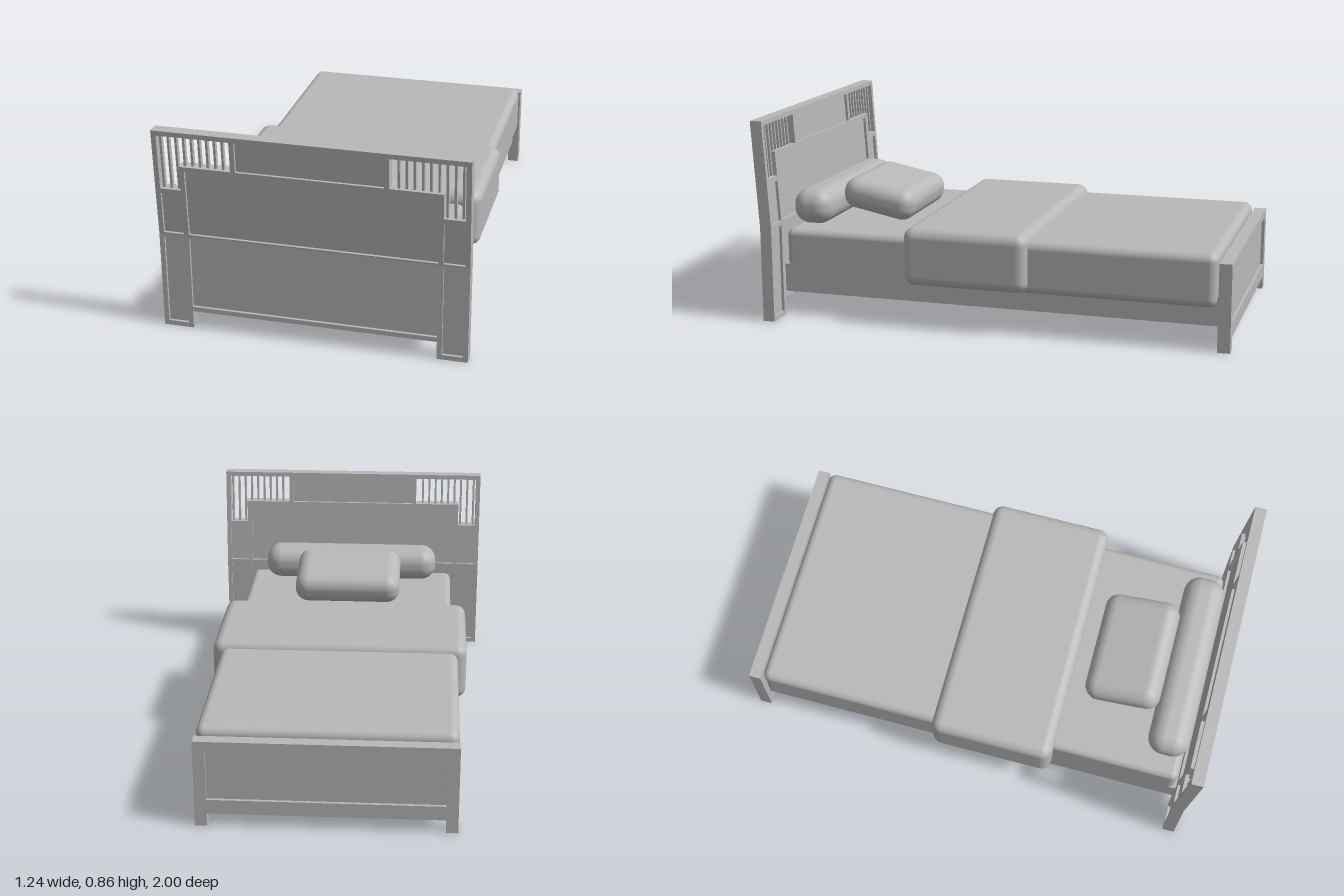
import * as THREE from 'three';
import { RoundedBoxGeometry } from 'three/addons/geometries/RoundedBoxGeometry.js';

const grey = new THREE.MeshStandardMaterial({ color: 0xb8b8b8 });
grey.name = 'plain grey';

const KINK = 0.41, TOP = 0.86, LEAN = 0.028;

function add(parent, name, geometry) {
  const mesh = new THREE.Mesh(geometry, grey);
  mesh.name = name;
  parent.add(mesh);
  return mesh;
}

// Box given by its limits on each axis
function block(parent, name, x0, x1, y0, y1, z0, z1) {
  const g = new THREE.BoxGeometry(x1 - x0, y1 - y0, z1 - z0);
  g.translate((x0 + x1) / 2, (y0 + y1) / 2, (z0 + z1) / 2);
  return add(parent, name, g);
}

// Headboard piece: upright up to the kink, leaning back above it
function leaning(parent, name, x0, x1, y0, y1, depth = 0.05) {
  let g = new THREE.BoxGeometry(x1 - x0, y1 - y0, depth, 1, 2, 1);
  g.translate((x0 + x1) / 2, (y0 + y1) / 2, 0.947);
  const p = g.attributes.position, mid = (y0 + y1) / 2;
  for (let i = 0; i < p.count; i++) {
    let y = p.getY(i);
    if (Math.abs(y - mid) < 1e-5 && y0 < KINK && y1 > KINK) y = KINK;
    p.setY(i, y);
    p.setZ(i, p.getZ(i) + LEAN * Math.max(0, (y - KINK) / (TOP - KINK)));
  }
  g = g.toNonIndexed();
  g.computeVertexNormals();
  return add(parent, name, g);
}

// Soft rounded block given by its limits
function soft(parent, name, x0, x1, y0, y1, z0, z1, radius) {
  const g = new RoundedBoxGeometry(x1 - x0, y1 - y0, z1 - z0, 5, radius);
  const mesh = add(parent, name, g);
  mesh.position.set((x0 + x1) / 2, (y0 + y1) / 2, (z0 + z1) / 2);
  return mesh;
}

function makeHeadboard() {
  const head = new THREE.Group();
  head.name = 'headboard';
  leaning(head, 'topRail', -0.62, 0.62, 0.84, TOP);

  // Middle frame with two recessed panels
  for (const y of [0.075, 0.397, 0.695]) leaning(head, 'middleRail', -0.497, 0.497, y, y + 0.02);
  leaning(head, 'lowerPanel', -0.497, 0.497, 0.095, 0.397, 0.026);
  leaning(head, 'upperPanel', -0.497, 0.497, 0.417, 0.695, 0.026);
  leaning(head, 'crestPanel', -0.29, 0.29, 0.715, 0.84, 0.026);

  // Outer posts, side panels and slats, the same on both sides
  for (const s of [-1, 1]) {
    const part = (name, a, b, y0, y1, d) =>
      leaning(head, name, Math.min(s * a, s * b), Math.max(s * a, s * b), y0, y1, d);
    part('outerPost', 0.6, 0.62, 0, 0.84);
    part('innerPost', 0.497, 0.517, 0, 0.715);
    part('crestPost', 0.29, 0.31, 0.715, 0.84);
    for (const y of [0, 0.397, 0.592]) part('sideRail', 0.517, 0.6, y, y + 0.02);
    part('lowerSidePanel', 0.517, 0.6, 0.02, 0.397, 0.026);
    part('upperSidePanel', 0.517, 0.6, 0.417, 0.592, 0.026);
    for (let i = 0; i < 9; i++) {
      const x = 0.589 - i * 0.0308;
      part('slat', x - 0.0045, x + 0.0045, x > 0.517 ? 0.612 : 0.715, 0.84, 0.02);
    }
  }
  return head;
}

function makeFootboard() {
  const foot = new THREE.Group();
  foot.name = 'footboard';
  for (const s of [-1, 1]) {
    block(foot, 'footLeg', s * 0.491 - 0.024, s * 0.491 + 0.024, 0, 0.366, -1, -0.948);
  }
  block(foot, 'footTopRail', -0.467, 0.467, 0.334, 0.366, -1, -0.948);
  block(foot, 'footBottomRail', -0.467, 0.467, 0.055, 0.115, -1, -0.948);
  block(foot, 'footPanel', -0.467, 0.467, 0.115, 0.334, -0.987, -0.961);
  return foot;
}

export function createModel() {
  const bed = new THREE.Group();
  bed.name = 'bed';
  bed.add(makeHeadboard(), makeFootboard());

  // Base and bedding
  block(bed, 'bedBase', -0.485, 0.485, 0.1, 0.222, -0.95, 0.925);
  soft(bed, 'mattress', -0.485, 0.485, 0.19, 0.376, -0.9, 0.918, 0.03);
  soft(bed, 'blanket', -0.512, 0.512, 0.175, 0.397, -0.94, -0.03, 0.035);
  soft(bed, 'foldedThrow', -0.55, 0.55, 0.18, 0.427, -0.165, 0.37, 0.045);

  // Bolster against the headboard
  soft(bed, 'bolster', -0.41, 0.41, 0.375, 0.528, 0.752, 0.93, 0.07);

  // Pillow: sides drawn in a little between the corners, leaning on the bolster
  const pillow = soft(bed, 'pillow', -0.245, 0.245, 0.395, 0.533, 0.434, 0.766, 0.062);
  const p = pillow.geometry.attributes.position;
  for (let i = 0; i < p.count; i++) {
    const x = p.getX(i), z = p.getZ(i);
    p.setXYZ(i, x * (0.98 + 0.02 * Math.abs(z) / 0.166), p.getY(i), z * (0.97 + 0.03 * Math.abs(x) / 0.245));
  }
  pillow.position.set(0, 0.464, 0.6);
  pillow.rotation.x = -0.2;

  return bed;
}
